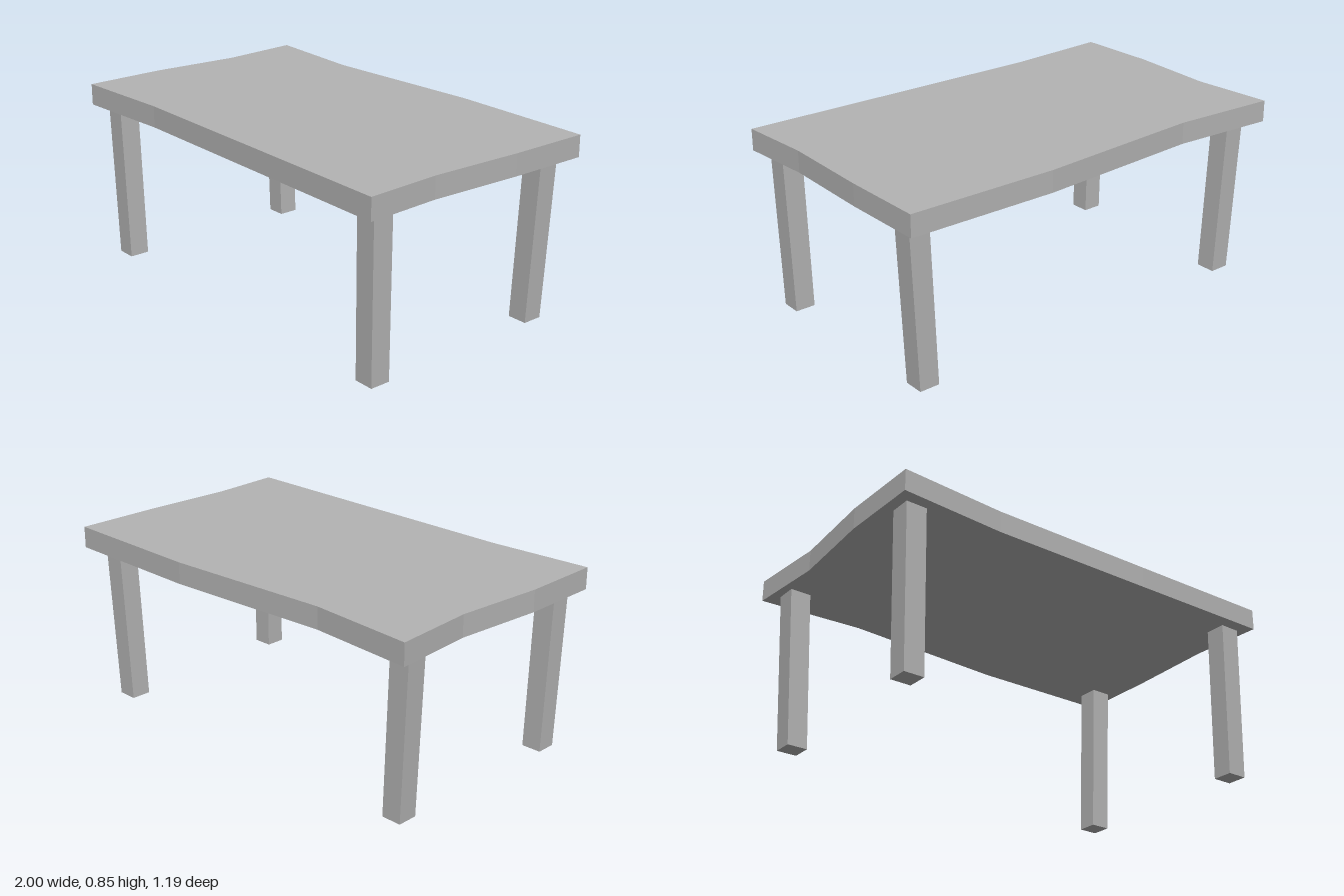
import * as THREE from 'three';

export function createModel() {
  const group = new THREE.Group();
  const grey = new THREE.MeshStandardMaterial({ color: 0xb3b3b3, flatShading: true });
  grey.name = 'grey';

  // Slab with an uneven outline, listed as [x, z]
  const outline = [
    [-0.995, 0.59], [-0.5, 0.565], [0.3, 0.578], [1, 0.59],
    [0.98, 0.24], [0.997, -0.2], [0.998, -0.588],
    [0.3, -0.6], [-0.5, -0.553], [-0.995, -0.588], [-0.968, -0.21], [-1, 0.21],
  ];
  const shape = new THREE.Shape(outline.map(([x, z]) => new THREE.Vector2(x, -z)));
  const slab = new THREE.ExtrudeGeometry(shape, { depth: 0.1, bevelEnabled: false });
  slab.rotateX(-Math.PI / 2).translate(0, 0.75, 0);
  const tabletop = new THREE.Mesh(slab, grey);
  tabletop.name = 'tabletop';
  group.add(tabletop);

  // Leaning, slightly tapered legs: centre at the top and at the floor
  const addLeg = (name, top, foot) => {
    const geometry = new THREE.BoxGeometry(1, 0.75, 1);
    const p = geometry.attributes.position;
    for (let i = 0; i < p.count; i++) {
      const isTop = p.getY(i) > 0;
      const [x, z] = isTop ? top : foot;
      const width = isTop ? 0.098 : 0.095;
      p.setXYZ(i, x + p.getX(i) * width, isTop ? 0.75 : 0, z + p.getZ(i) * width);
    }
    geometry.computeVertexNormals();
    const leg = new THREE.Mesh(geometry, grey);
    leg.name = name;
    group.add(leg);
  };
  addLeg('frontRightLeg', [-0.897, 0.48], [-0.877, 0.472]);
  addLeg('frontLeftLeg', [0.9, 0.48], [0.888, 0.472]);
  addLeg('backRightLeg', [-0.897, -0.455], [-0.863, -0.448]);
  addLeg('backLeftLeg', [0.9, -0.455], [0.865, -0.448]);

  return group;
}
